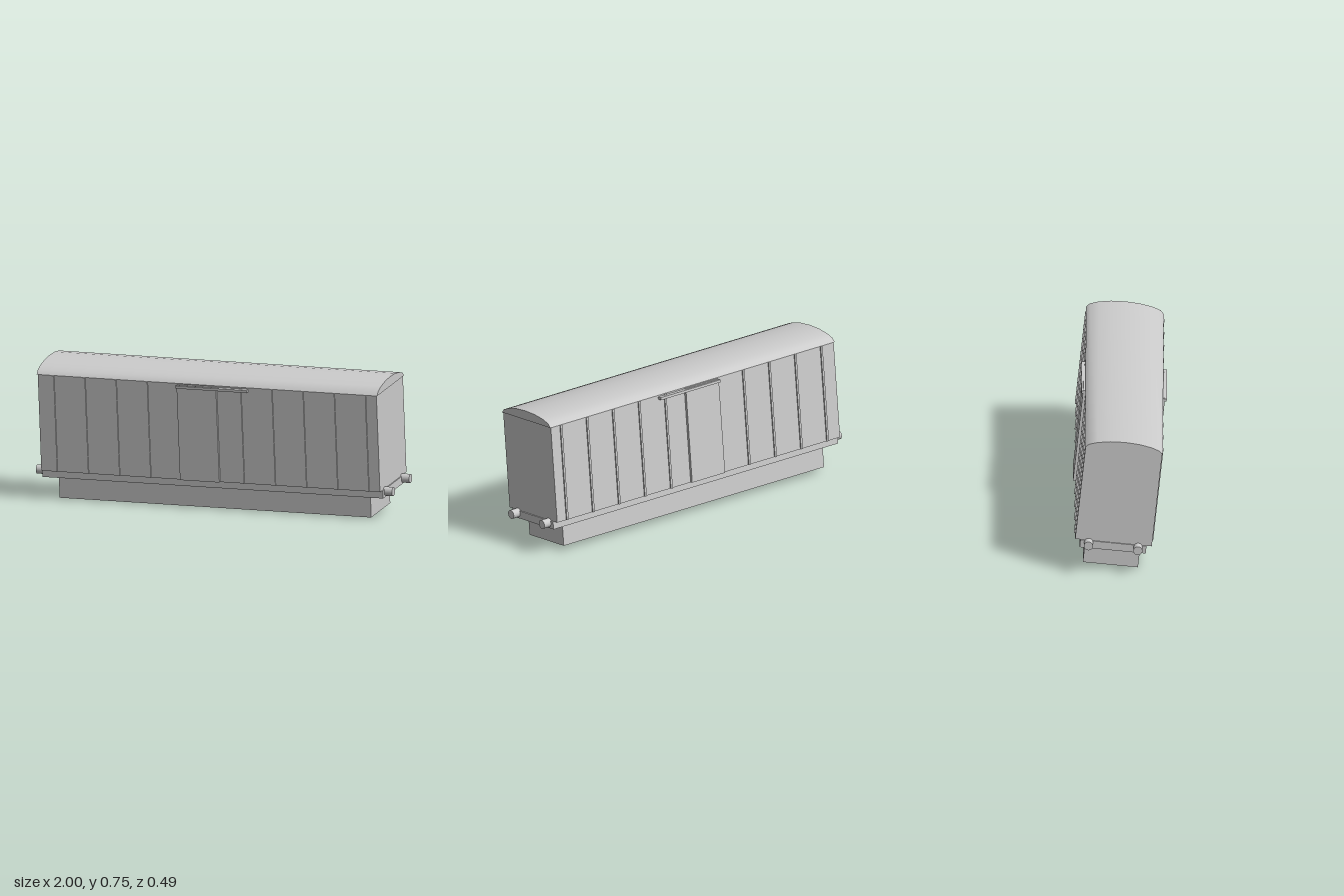
import * as THREE from 'three';
import { toCreasedNormals } from 'three/addons/utils/BufferGeometryUtils.js';

const material = new THREE.MeshStandardMaterial({ color: 0xcccccc });

export function createModel() {
  const model = new THREE.Group();
  const wagon = new THREE.Group();
  wagon.name = 'wagon';
  model.add(wagon);

  const add = (name, geometry, x = 0, y = 0, z = 0) => {
    const mesh = new THREE.Mesh(geometry, material);
    mesh.name = name;
    mesh.position.set(x, y, z);
    wagon.add(mesh);
    return mesh;
  };
  // Box given by its limits on each axis
  const box = (name, x0, x1, y0, y1, z0, z1) =>
    add(name, new THREE.BoxGeometry(x1 - x0, y1 - y0, z1 - z0),
      (x0 + x1) / 2, (y0 + y1) / 2, (z0 + z1) / 2);

  // Underframe and body
  box('undercarriage', -0.875, 0.875, 0, 0.117, -0.146, 0.146);
  box('frame', -0.957, 0.957, 0.117, 0.159, -0.175, 0.175);
  box('body', -0.951, 0.951, 0.159, 0.686, -0.203, 0.203);

  // Arched roof, extruded along the wagon
  const half = [[0.206, 0.686], [0.188, 0.706], [0.143, 0.7215], [0.077, 0.733]];
  const profile = [...half, [0, 0.737], ...half.map(([z, y]) => [-z, y]).reverse()];
  const shape = new THREE.Shape(profile.map(([z, y]) => new THREE.Vector2(z, y)));
  const roof = new THREE.ExtrudeGeometry(shape, { depth: 1.912, bevelEnabled: false });
  roof.translate(0, 0, -0.956).rotateY(Math.PI / 2);
  add('roof', toCreasedNormals(roof, 0.6));

  for (const side of [-1, 1]) {
    const panel = (name, x0, x1, y0, y1, inner, outer) =>
      box(name, x0, x1, y0, y1, Math.min(side * inner, side * outer), Math.max(side * inner, side * outer));

    // Wall ribs, leaving the doorway free
    for (let i = 0; i < 11; i++) {
      if (i === 4 || i === 5) continue;
      const x = -0.865 + i * 0.175;
      panel('rib', x - 0.006, x + 0.006, 0.159, 0.685, 0.2, 0.21);
    }
    // Sliding door and its rail
    panel('door', -0.167, 0.054, 0.16, 0.68, 0.2, 0.217);
    panel('doorRail', -0.17, 0.23, 0.663, 0.677, 0.2, 0.226);

    // Buffers at both ends
    for (const end of [-1, 1]) {
      const buffer = new THREE.CylinderGeometry(0.024, 0.024, 0.05, 24);
      buffer.rotateZ(Math.PI / 2);
      add('buffer', buffer, end * 0.975, 0.1455, side * 0.131);
    }
  }

  // The whole wagon leans slightly to the front
  wagon.rotation.x = 0.104;
  wagon.position.set(0, 0.0152, -0.047);
  return model;
}
